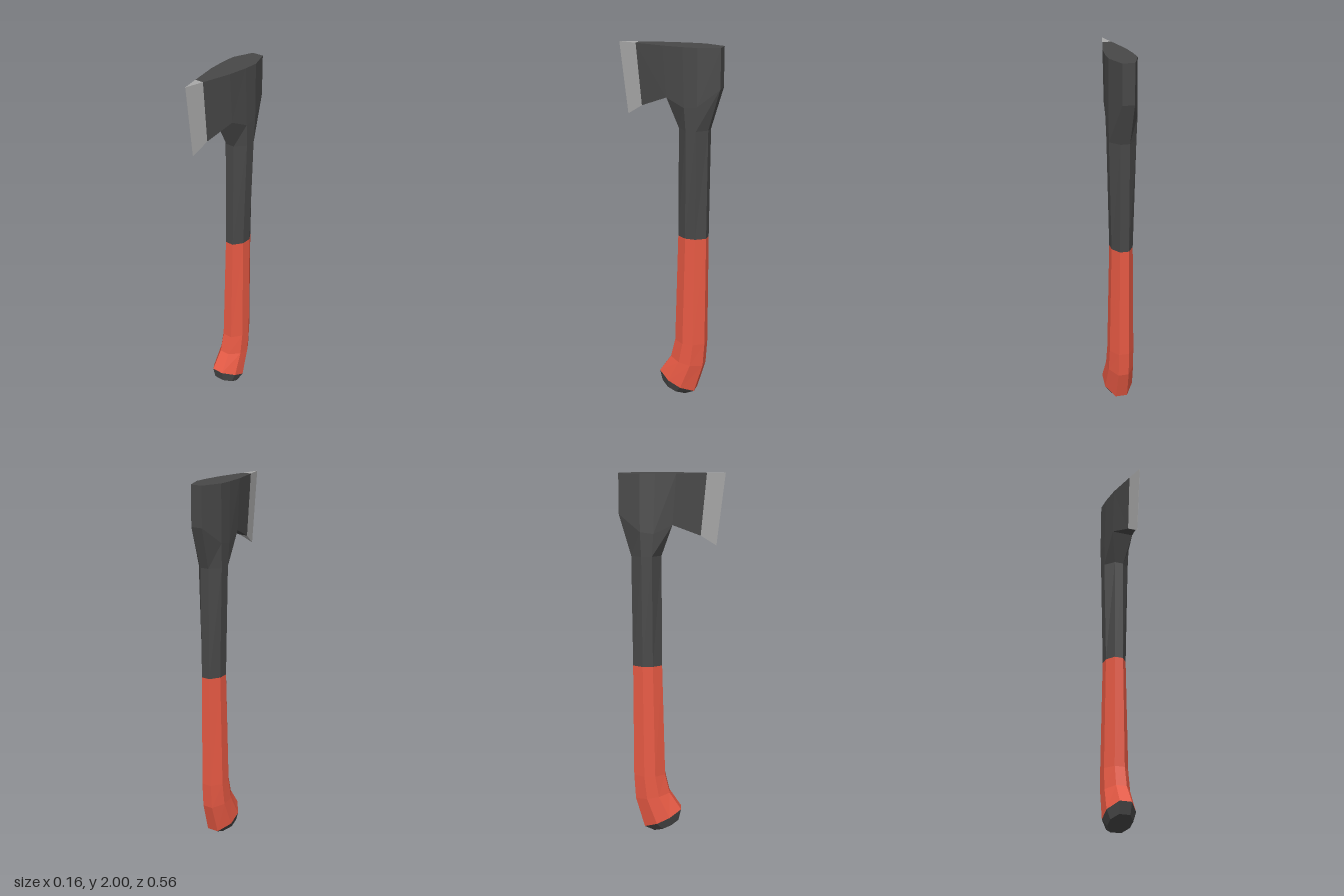
import * as THREE from 'three';

// Outer surface through a list of equal-length rings, with optional end caps
function loft(rings, { capStart = false, capEnd = false, open = false } = {}) {
  const pos = [];
  const tri = (...pts) => pts.forEach((p) => pos.push(...p));
  const n = rings[0].length;
  for (let r = 0; r < rings.length - 1; r++) {
    const a = rings[r], b = rings[r + 1];
    for (let i = 0; i < (open ? n - 1 : n); i++) {
      const j = (i + 1) % n;
      tri(a[i], a[j], b[j]);
      tri(a[i], b[j], b[i]);
    }
  }
  const first = rings[0], last = rings[rings.length - 1];
  for (let i = 1; i < n - 1; i++) {
    if (capStart) tri(first[0], first[i + 1], first[i]);
    if (capEnd) tri(last[0], last[i], last[i + 1]);
  }
  const g = new THREE.BufferGeometry();
  g.setAttribute('position', new THREE.Float32BufferAttribute(pos, 3));
  g.computeVertexNormals();
  return g;
}

// Closes a half section given on +x with its mirror image
const mirror = (half) => [...half, ...half.map(([x, y, z]) => [-x, y, z]).reverse()];

// Eight-sided handle section, tilted from its front point to its back point
function handleRing(narrow, wide, [zf, yf], [zb, yb]) {
  return mirror([0, 0.32, 0.67, 1].map((t, i) => [
    i === 0 || i === 3 ? narrow : wide,
    yf + (yb - yf) * t,
    zf + (zb - zf) * t,
  ]));
}

// Blade section: bottom and top corners
const bladeRing = (xb, yb, zb, xt, zt) => mirror([[xb, yb, zb], [xt, 2, zt]]);

export function createModel() {
  const mat = (name, color) => {
    const m = new THREE.MeshStandardMaterial({ color, flatShading: true });
    m.name = name;
    return m;
  };
  const dark = mat('darkGrey', 0x484848);
  const red = mat('gripRed', 0xe85a44);
  const steel = mat('steel', 0xa8a8a8);

  const axe = new THREE.Group();
  axe.name = 'axe';
  const add = (name, geometry, material) => {
    const mesh = new THREE.Mesh(geometry, material);
    mesh.name = name;
    axe.add(mesh);
  };

  // Handle sections from butt to head
  const buttEnd = handleRing(0.03, 0.062, [0.035, 0.065], [-0.1, 0.004]);
  const gripEnd = handleRing(0.033, 0.08, [0.05, 0.13], [-0.155, 0.03]);
  const gripTop = handleRing(0.024, 0.058, [-0.055, 0.97], [-0.213, 0.97]);
  const neck = handleRing(0.025, 0.072, [-0.057, 1.57], [-0.217, 1.57]);

  add('buttCap', loft([buttEnd, gripEnd], { capStart: true }), dark);
  add('grip', loft([
    gripEnd,
    handleRing(0.029, 0.071, [-0.015, 0.23], [-0.204, 0.2]),
    handleRing(0.028, 0.068, [-0.04, 0.34], [-0.213, 0.34]),
    gripTop,
  ]), red);
  add('shaft', loft([gripTop, neck]), dark);

  // Head: socket flaring out of the neck, then the solid poll
  const socketTop = mirror([
    [0.06, 1.735, 0], [0.075, 1.69, -0.1], [0.075, 1.7, -0.17], [0.032, 1.79, -0.28],
  ]);
  const headTop = mirror([
    [0.06, 2, 0.02], [0.072, 2, -0.09], [0.073, 2, -0.17], [0.032, 2, -0.28],
  ]);
  add('socket', loft([neck, socketTop]), dark);
  add('poll', loft([socketTop, headTop], { open: true, capEnd: true }), dark);

  // Wedge-shaped blade with a bright cutting edge
  const bevel = bladeRing(0.022, 1.675, 0.15, 0.024, 0.18);
  add('blade', loft([bladeRing(0.06, 1.735, 0, 0.06, 0.02), bevel]), dark);
  add('cuttingEdge', loft([bevel, bladeRing(0.0008, 1.62, 0.235, 0.0008, 0.28)], { capEnd: true }), steel);

  return axe;
}
